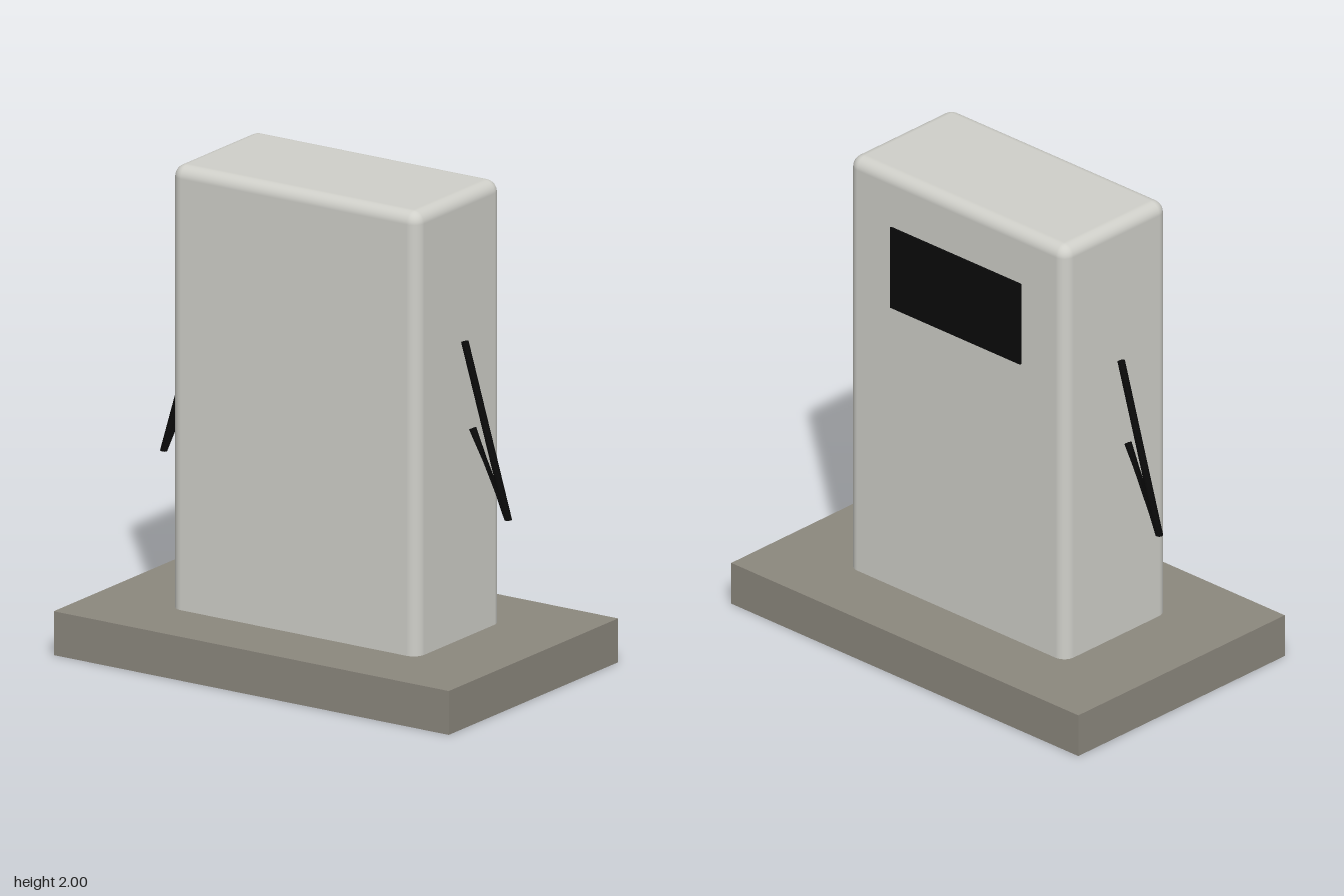
import * as THREE from 'three';
import { RoundedBoxGeometry } from 'three/addons/geometries/RoundedBoxGeometry.js';

export function createModel() {
  const group = new THREE.Group();
  const concrete = new THREE.MeshStandardMaterial({ name: 'concrete', color: 0x8c887e });
  const casing = new THREE.MeshStandardMaterial({ name: 'casing', color: 0xd0d0ca });
  const black = new THREE.MeshStandardMaterial({ name: 'black', color: 0x0a0a0a, side: THREE.DoubleSide });

  const add = (name, geometry, material, x, y, z) => {
    const mesh = new THREE.Mesh(geometry, material);
    mesh.name = name;
    mesh.position.set(x, y, z);
    group.add(mesh);
    return mesh;
  };

  // Plinth
  add('plinth', new THREE.BoxGeometry(1.88, 0.18, 1.175), concrete, 0, 0.09, 0);

  // Rounded cabinet, its lower rounding sunk into the plinth
  const bottom = 0.11;
  add('cabinet', new RoundedBoxGeometry(1.175, 2 - bottom, 0.588, 4, 0.05), casing, 0, (2 + bottom) / 2, 0);

  // Display panel on the back
  add('display', new THREE.BoxGeometry(0.704, 0.355, 0.009), black, 0, 1.59, -0.2975);

  // Hoses: two straight runs that share a level ring at the low bend
  for (const side of [1, -1]) {
    const path = new THREE.CatmullRomCurve3([
      new THREE.Vector3(side * 0.613, 1.41, 0),
      new THREE.Vector3(side * 0.82, 0.712, 0),
      new THREE.Vector3(side * 0.65, 1.06, 0),
    ], false, 'catmullrom', 0.5);
    // Step by control point rather than by length, so the bend stays sharp
    path.getPointAt = path.getPoint;
    path.getTangentAt = path.getTangent;
    add(side > 0 ? 'leftHose' : 'rightHose', new THREE.TubeGeometry(path, 2, 0.015, 8), black, 0, 0, 0);
  }

  return group;
}
